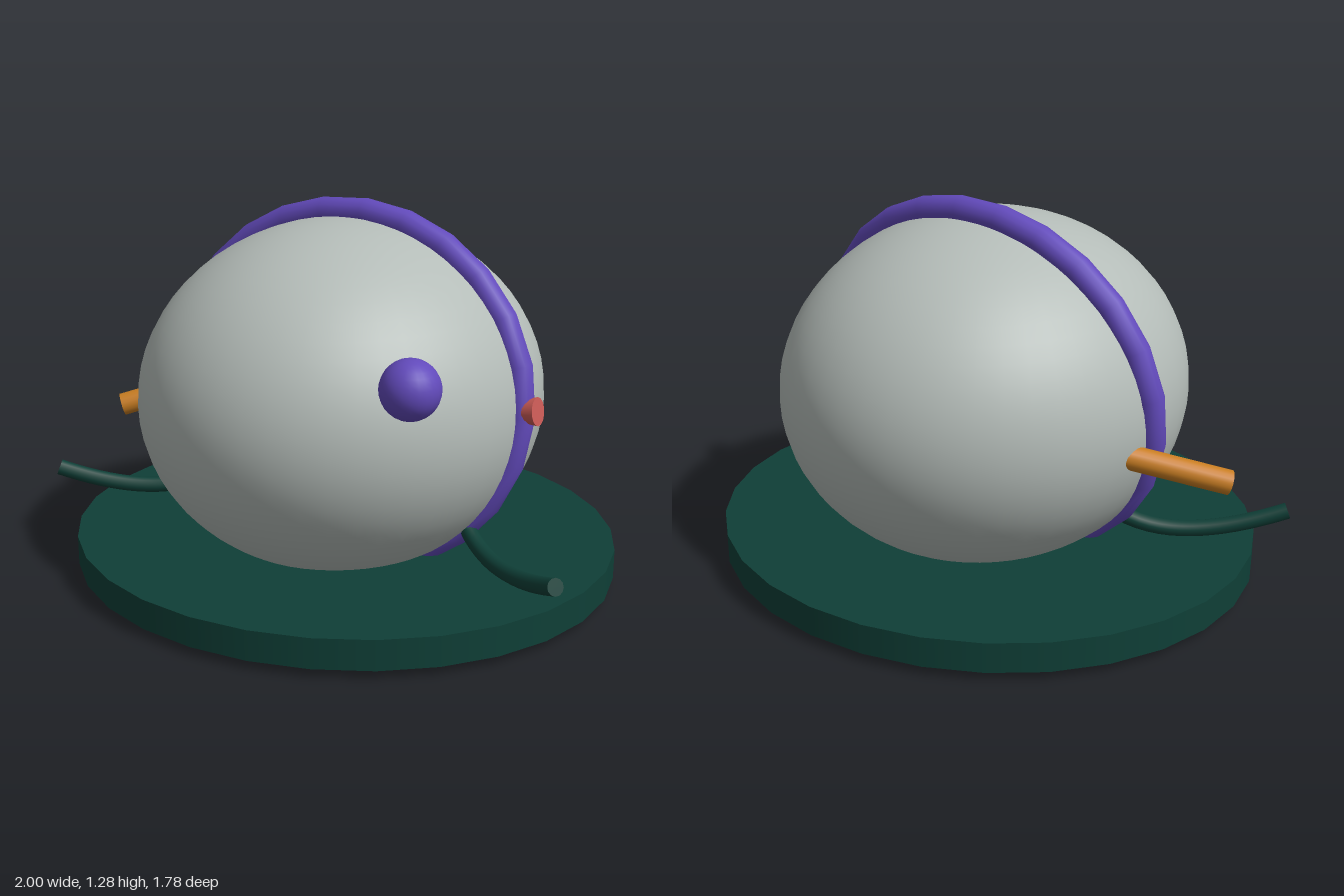
import * as THREE from 'three';

const V = (x, y, z) => new THREE.Vector3(x, y, z);

export function createModel() {
  const model = new THREE.Group();
  model.name = 'model';
  const mat = (name, color) => {
    const m = new THREE.MeshStandardMaterial({ color });
    m.name = name;
    return m;
  };
  const grey = mat('paleGrey', 0xb4bcb8);
  const green = mat('darkGreen', 0x0f3f37);
  const purple = mat('purple', 0x624abb);
  const orange = mat('orange', 0xc87d22);
  const red = mat('coralRed', 0xcc5c57);

  const add = (name, geometry, material, position = V(0, 0, 0)) => {
    const mesh = new THREE.Mesh(geometry, material);
    mesh.name = name;
    mesh.position.copy(position);
    model.add(mesh);
    return mesh;
  };

  // Straight rod between two points, r0 at the start and r1 at the end
  const rod = (name, a, b, r0, r1, sides, material) => {
    const dir = b.clone().sub(a);
    const mesh = add(name, new THREE.CylinderGeometry(r1, r0, dir.length(), sides), material,
      a.clone().add(b).multiplyScalar(0.5));
    mesh.quaternion.setFromUnitVectors(V(0, 1, 0), dir.normalize());
    return mesh;
  };

  // Egg-shaped body
  add('body', new THREE.SphereGeometry(1, 48, 32).scale(0.68, 0.6, 0.735), grey, V(0, 0.625, 0));

  // Oval base plate
  add('base', new THREE.CylinderGeometry(1, 1, 0.102, 30).scale(0.96, 1, 0.89), green, V(0, 0.084, 0));

  // Oval band around the body, leaning back
  const points = [];
  for (let i = 0; i < 25; i++) {
    const a = (i / 25) * Math.PI * 2;
    points.push(V(0.672 * Math.cos(a), 0.6 * Math.sin(a), 0));
  }
  const oval = new THREE.CatmullRomCurve3(points, true);
  const band = add('band', new THREE.TubeGeometry(oval, 25, 0.048, 14, true), purple, V(0, 0.645, 0));
  band.rotation.x = -0.133;

  // Ball on the front left
  add('ball', new THREE.SphereGeometry(0.095, 24, 16), purple, V(0.535, 0.84, 0.485));

  // Side button and spout
  rod('button', V(0.65, 0.66, 0), V(0.732, 0.673, 0), 0.033, 0.047, 14, red);
  rod('spout', V(-0.56, 0.573, -0.155), V(-0.902, 0.455, 0.113), 0.041, 0.041, 18, orange);

  // Pair of curved arms with closed ends
  for (const s of [1, -1]) {
    const path = new THREE.QuadraticBezierCurve3(
      V(0.52 * s, 0.255, 0.063), V(0.68 * s, 0.135, 0.175), V(0.98 * s, 0.275, 0.385));
    const side = s > 0 ? 'left' : 'right';
    add(side + 'Arm', new THREE.TubeGeometry(path, 16, 0.028, 12), green);
    for (const t of [0, 1]) {
      const cap = add(side + 'ArmCap', new THREE.CircleGeometry(0.028, 12), green, path.getPoint(t));
      const out = path.getTangent(t).multiplyScalar(t ? 1 : -1);
      cap.quaternion.setFromUnitVectors(V(0, 0, 1), out);
    }
  }

  return model;
}
